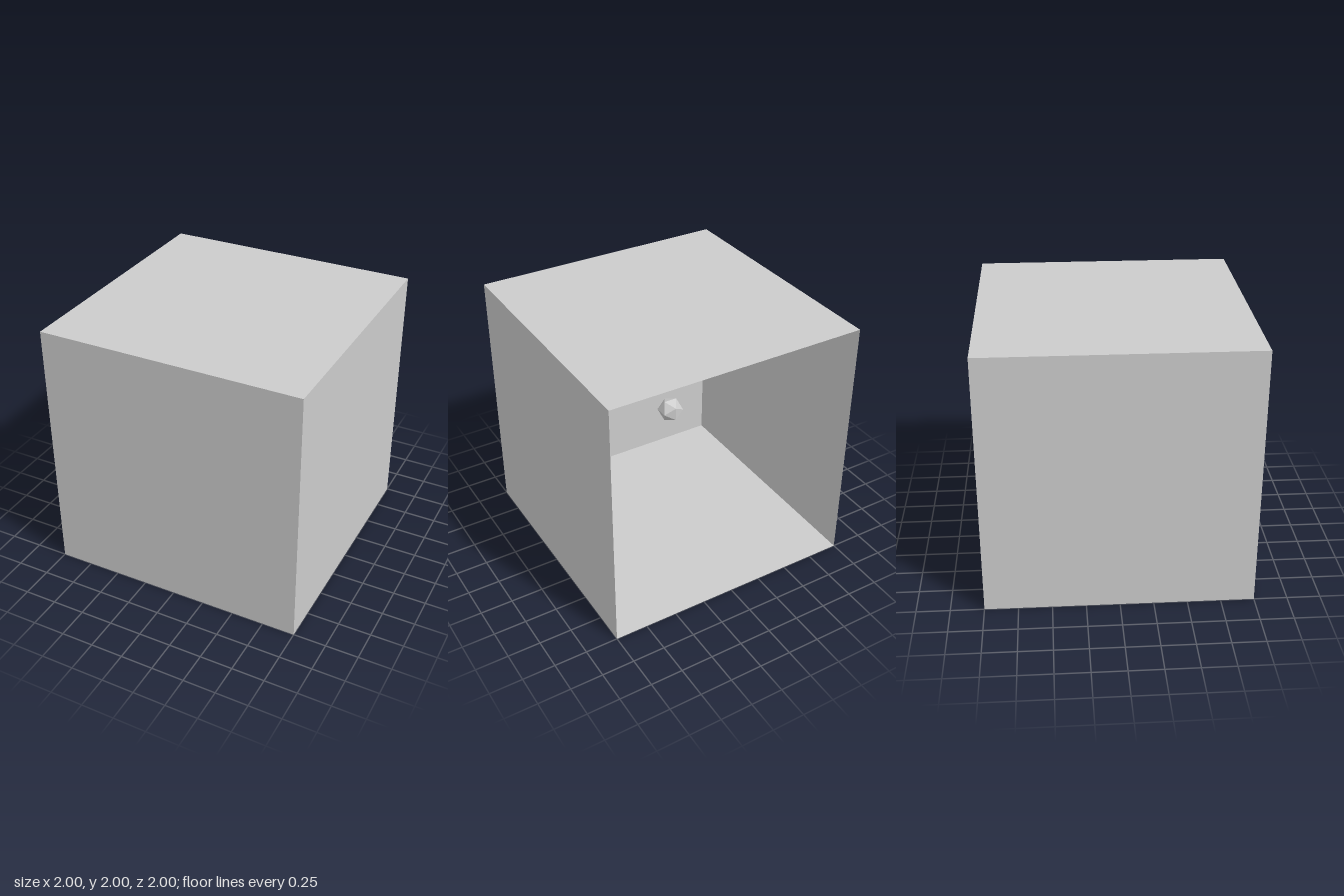
import * as THREE from 'three';

const SIZE = 2;

export function createModel() {
  const model = new THREE.Group();

  // Thin-walled cube, open at the back: the -z side is the last face (6 indices) of a box
  const shellGeometry = new THREE.BoxGeometry(SIZE, SIZE, SIZE);
  const index = Array.from(shellGeometry.index.array);
  shellGeometry.setIndex(index.slice(0, -6));
  shellGeometry.clearGroups();
  const shell = new THREE.Mesh(
    shellGeometry,
    new THREE.MeshStandardMaterial({ color: 0xcccccc, side: THREE.DoubleSide })
  );
  shell.name = 'openBox';
  shell.position.y = SIZE / 2;
  model.add(shell);

  // Small faceted ball floating near the middle
  const ball = new THREE.Mesh(
    new THREE.IcosahedronGeometry(0.1, 0),
    new THREE.MeshStandardMaterial({ color: 0xcccccc, flatShading: true })
  );
  ball.name = 'facetedBall';
  ball.position.set(-0.05, 1.08, 0);
  model.add(ball);

  return model;
}
